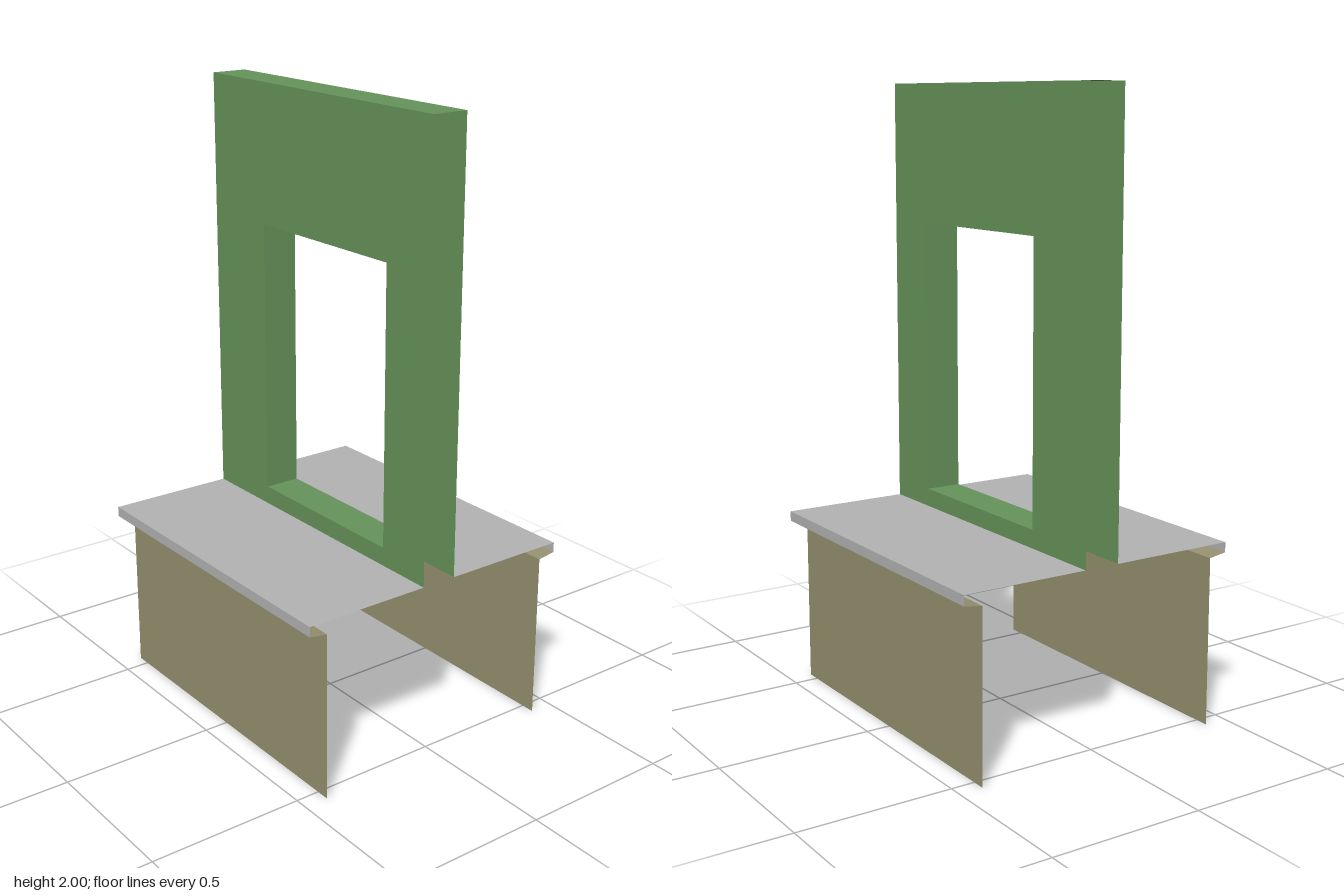
import * as THREE from 'three';

const paint = (name, color) => {
  const m = new THREE.MeshStandardMaterial({ color, side: THREE.DoubleSide });
  m.name = name;
  return m;
};

// Sheet made by sweeping a profile of [z, y] points along x, one flat face per step
function sweep(profile, x0, x1) {
  const pos = [];
  for (let i = 0; i + 1 < profile.length; i++) {
    const [z0, y0] = profile[i], [z1, y1] = profile[i + 1];
    pos.push(x0, y0, z0, x0, y1, z1, x1, y1, z1);
    pos.push(x0, y0, z0, x1, y1, z1, x1, y0, z0);
  }
  const g = new THREE.BufferGeometry();
  g.setAttribute('position', new THREE.Float32BufferAttribute(pos, 3));
  g.computeVertexNormals();
  return g;
}

export function createModel() {
  const green = paint('green wall', 0x66945a);
  const grey = paint('grey ledge', 0xb3b3b3);
  const olive = paint('olive base', 0x959170);

  const W = 0.545, T = 0.06, D = 0.483, ledgeY = 0.59, topY = 2;
  const lipY = 0.557, baseY = 0.548, baseZ = 0.422;
  const win = { x0: -0.27, x1: 0.35, y0: 0.65, y1: 1.55 };

  const model = new THREE.Group();
  model.name = 'windowWallSection';
  const add = (parent, name, geometry, material) => {
    const mesh = new THREE.Mesh(geometry, material);
    mesh.name = name;
    parent.add(mesh);
    return mesh;
  };

  // Upper wall: two faces with a window hole, open at the ends and below
  const wall = new THREE.Group();
  wall.name = 'upperWall';
  model.add(wall);
  const face = (dir) => {
    const rect = (x0, y0, x1, y1) =>
      [[x0, y0], [x1, y0], [x1, y1], [x0, y1]].map(([x, y]) => new THREE.Vector2(x * dir, y));
    const shape = new THREE.Shape(rect(-W, ledgeY, W, topY));
    shape.holes.push(new THREE.Path(rect(win.x0, win.y0, win.x1, win.y1)));
    const g = new THREE.ShapeGeometry(shape);
    if (dir < 0) g.rotateY(Math.PI);
    return g.translate(0, 0, dir * T);
  };
  add(wall, 'wallFront', face(1), green);
  add(wall, 'wallBack', face(-1), green);
  add(wall, 'wallTop', sweep([[-T, topY], [T, topY]], -W, W), green);

  // Window reveal
  add(wall, 'windowSill', sweep([[-T, win.y0], [T, win.y0]], win.x0, win.x1), green);
  add(wall, 'windowHead', sweep([[T, win.y1], [-T, win.y1]], win.x0, win.x1), green);
  for (const [name, x, dir] of [['windowJambRight', win.x0, 1], ['windowJambLeft', win.x1, -1]]) {
    const jamb = add(wall, name, new THREE.PlaneGeometry(2 * T, win.y1 - win.y0), green);
    jamb.position.set(x, (win.y0 + win.y1) / 2, 0);
    jamb.rotation.y = dir * Math.PI / 2;
  }

  // Ledge with lip, and the base wall with its soffit, on both sides
  for (const [side, angle] of [['front', 0], ['back', Math.PI]]) {
    const half = new THREE.Group();
    half.name = side + 'Base';
    half.rotation.y = angle;
    add(half, side + 'Ledge', sweep([[T, ledgeY], [D, ledgeY], [D, lipY]], -W, W), grey);
    add(half, side + 'BaseWall', sweep([[D, lipY], [baseZ, baseY], [baseZ, 0]], -W, W), olive);
    model.add(half);
  }
  return model;
}
